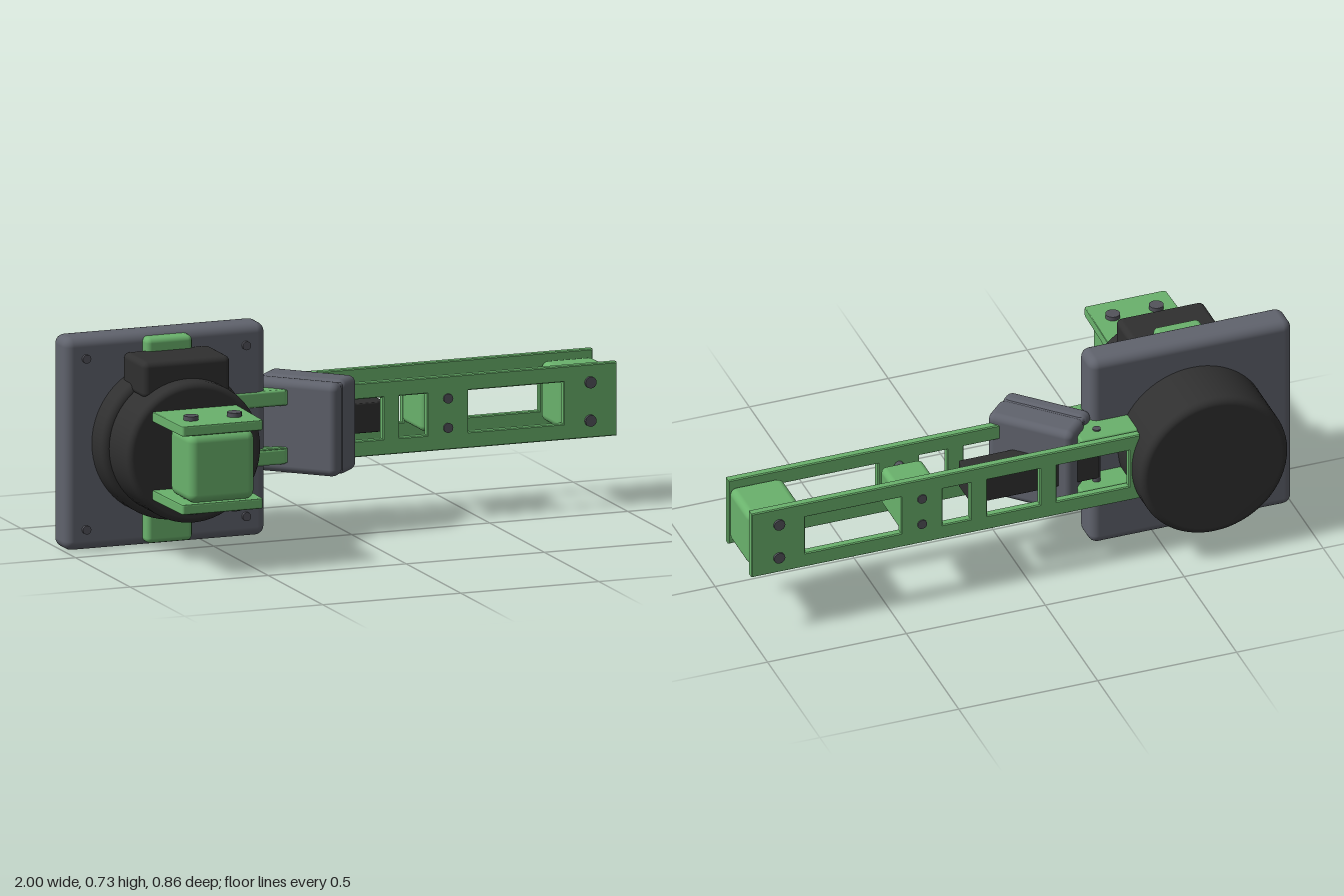
import * as THREE from 'three';
import { RoundedBoxGeometry } from 'three/addons/geometries/RoundedBoxGeometry.js';

const mat = (name, color) => {
  const m = new THREE.MeshStandardMaterial({ color });
  m.name = name;
  return m;
};

export function createModel() {
  const green = mat('green', 0x6ab26c);
  const dark = mat('charcoal', 0x303030);
  const grey = mat('slate grey', 0x60636d);
  const steel = mat('bolt grey', 0x53535b);
  const model = new THREE.Group();

  const add = (name, geo, material, parent = model) => {
    const m = new THREE.Mesh(geo, material);
    m.name = name;
    parent.add(m);
    return m;
  };
  // Rounded box from [min, max] ranges on each axis
  const box = (name, x, y, z, r, material, parent = model) => {
    const geo = new RoundedBoxGeometry(x[1] - x[0], y[1] - y[0], z[1] - z[0], 3, r);
    const m = add(name, geo, material, parent);
    m.position.set((x[0] + x[1]) / 2, (y[0] + y[1]) / 2, (z[0] + z[1]) / 2);
    return m;
  };
  // Bolt centred at a point, along one axis
  const bolt = (x, y, z, r, length, axis) => {
    const geo = new THREE.CylinderGeometry(r, r, length, 20);
    if (axis === 'z') geo.rotateX(Math.PI / 2);
    add('bolt', geo, steel).position.set(x, y, z);
  };
  // Drum along z with filleted rims
  const drum = (name, r, z0, z1, fillet) => {
    const pts = [new THREE.Vector2(0, z0)];
    for (let i = 0; i <= 5; i++) {
      const a = (i / 5) * Math.PI / 2;
      pts.push(new THREE.Vector2(r - fillet + fillet * Math.sin(a), z0 + fillet - fillet * Math.cos(a)));
    }
    for (let i = 0; i <= 5; i++) {
      const a = (i / 5) * Math.PI / 2;
      pts.push(new THREE.Vector2(r - fillet + fillet * Math.cos(a), z1 - fillet + fillet * Math.sin(a)));
    }
    pts.push(new THREE.Vector2(0, z1));
    const geo = new THREE.LatheGeometry(pts, 64);
    geo.rotateX(Math.PI / 2);
    add(name, geo, dark).position.set(-0.637, 0.367, 0);
  };

  // Mounting plate with corner bolts
  box('mountingPlate', [-1, -0.272], [0, 0.733], [-0.212, -0.094], 0.032, grey);
  for (const x of [-0.925, -0.346])
    for (const y of [0.072, 0.661]) bolt(x, y, -0.1, 0.015, 0.034, 'z');
  box('plateStrap', [-0.72, -0.552], [0.013, 0.721], [-0.209, -0.054], 0.018, green);

  // Housing drums and top box
  drum('rearDrum', 0.267, -0.432, 0.005, 0.025);
  drum('frontDrum', 0.243, -0.05, 0.176, 0.022);
  box('topHousing', [-0.795, -0.48], [0.55, 0.676], [-0.09, 0.107], 0.02, dark);

  // Front clevis: two tapered plates, a block and through bolts
  for (const y of [0.216, 0.486]) {
    const s = new THREE.Shape();
    s.moveTo(-0.792, -0.1);
    s.lineTo(-0.482, -0.1);
    s.lineTo(-0.49, -0.42);
    s.quadraticCurveTo(-0.49, -0.432, -0.5, -0.432);
    s.lineTo(-0.774, -0.432);
    s.quadraticCurveTo(-0.784, -0.432, -0.784, -0.42);
    const geo = new THREE.ExtrudeGeometry(s, {
      depth: 0.025, bevelThickness: 0.005, bevelSize: 0.003, bevelOffset: -0.003, bevelSegments: 2,
    });
    geo.rotateX(-Math.PI / 2);
    add('clevisPlate', geo, green).position.y = y + 0.005;
  }
  box('clevisBlock', [-0.757, -0.517], [0.25, 0.488], [0.242, 0.432], 0.03, green);
  for (const x of [-0.715, -0.558]) bolt(x, 0.367, 0.337, 0.025, 0.338, 'y');
  box('drumTab', [-0.67, -0.6], [0.334, 0.38], [0.16, 0.219], 0.008, green);
  box('drumLatch', [-0.67, -0.59], [0.354, 0.39], [0.16, 0.211], 0.01, dark);

  // Arm side frames with cut windows
  const windows = [[-0.36, -0.1], [-0.04, 0.15], [0.21, 0.31], [0.46, 0.805]];
  for (const z of [-0.344, -0.122]) {
    const s = new THREE.Shape();
    s.moveTo(-0.4, 0.243);
    s.lineTo(0.998, 0.243);
    s.lineTo(0.998, 0.497);
    s.lineTo(-0.4, 0.497);
    for (const [a, b] of windows) {
      const h = new THREE.Path();
      h.moveTo(a, 0.298);
      h.lineTo(a, 0.442);
      h.lineTo(b, 0.442);
      h.lineTo(b, 0.298);
      s.holes.push(h);
    }
    const geo = new THREE.ExtrudeGeometry(s, {
      depth: 0.022, bevelThickness: 0.004, bevelSize: 0.003, bevelOffset: -0.003, bevelSegments: 1,
    });
    add('armFrame', geo, green).position.z = z + 0.004;
  }

  // Blocks between the frames, and their bolts
  box('armEndBlock', [0.805, 0.998], [0.267, 0.473], [-0.315, -0.12], 0.025, green);
  box('armMiddleBlock', [0.31, 0.46], [0.298, 0.445], [-0.33, -0.14], 0.02, green);
  for (const y of [0.303, 0.435]) bolt(0.9, y, -0.217, 0.02, 0.27, 'z');
  for (const y of [0.319, 0.42]) bolt(0.385, y, -0.217, 0.017, 0.262, 'z');

  // Brackets joining the arm to the housing
  for (const y of [0.24, 0.443]) box('armBracket', [-0.55, -0.2], [y, y + 0.054], [-0.31, -0.09], 0.008, green);
  for (const z of [-0.26, -0.15]) bolt(-0.275, 0.369, z, 0.014, 0.266, 'y');

  // Dark slider carrying the pad
  box('slider', [-0.28, 0.182], [0.31, 0.413], [-0.276, -0.154], 0.004, dark);
  bolt(0.03, 0.312, -0.215, 0.014, 0.012, 'y');

  // Angled two-layer pad, local z faces the front left
  const pad = new THREE.Group();
  pad.name = 'angledPad';
  pad.position.set(-0.117, 0.367, -0.137);
  pad.rotation.y = -Math.PI / 4;
  model.add(pad);
  box('padBack', [-0.157, 0.157], [-0.163, 0.163], [-0.088, 0.03], 0.026, grey, pad);
  box('padFace', [-0.155, 0.155], [-0.161, 0.161], [0.022, 0.088], 0.026, grey, pad);
  box('padCore', [-0.149, 0.149], [-0.155, 0.155], [-0.03, 0.06], 0.01, grey, pad);

  return model;
}
